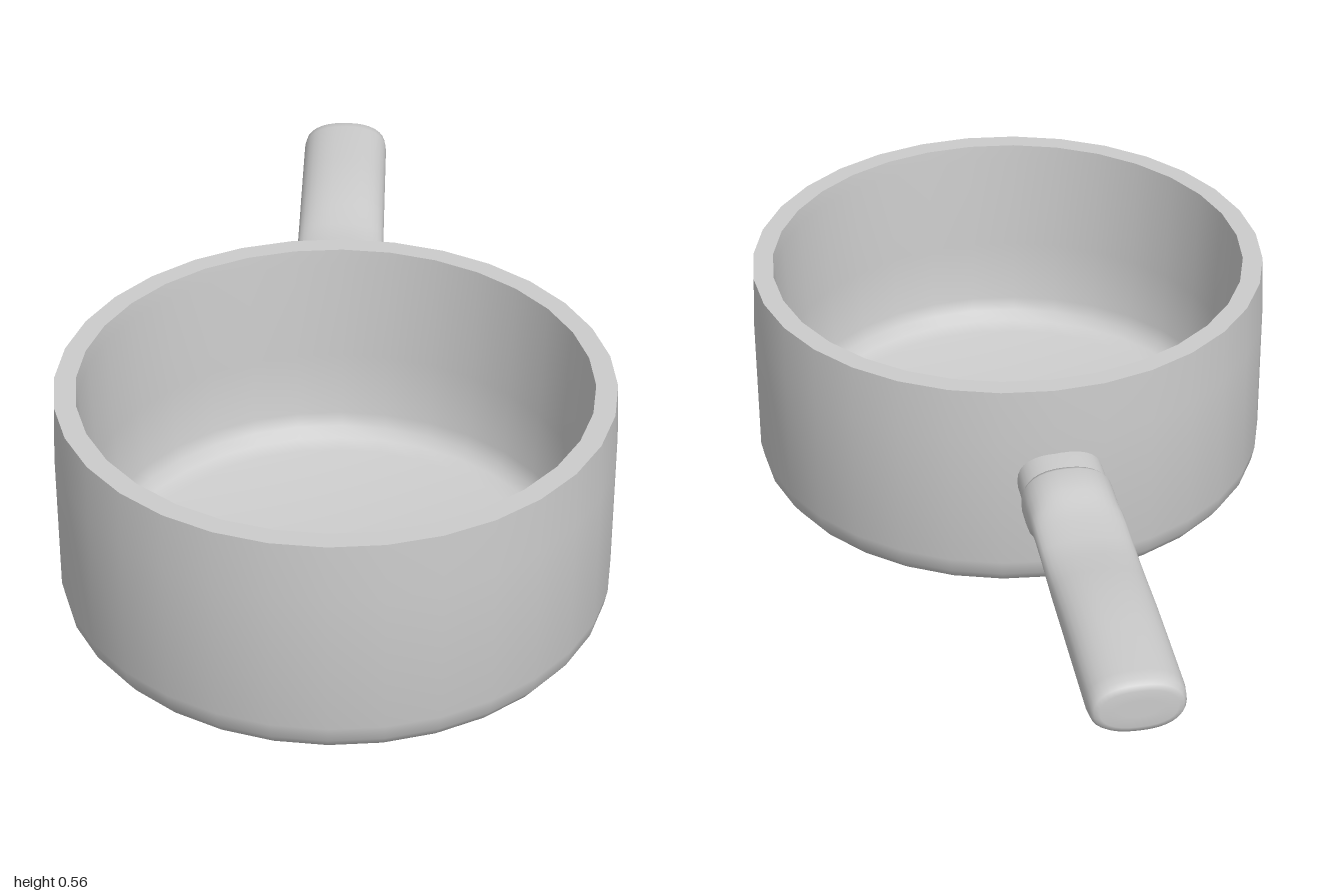
import * as THREE from 'three';
import { toCreasedNormals } from 'three/addons/utils/BufferGeometryUtils.js';

const grey = new THREE.MeshStandardMaterial({ color: 0xcccccc });

// Closed skin through sections [z, halfWidth, bottom, top], running towards -z.
function loft(sections, sides = 32) {
  const pos = [], index = [];
  const soft = (v) => Math.sign(v) * Math.pow(Math.abs(v), 0.85);
  for (const [z, w, lo, hi] of sections) {
    for (let i = 0; i < sides; i++) {
      const a = (i / sides) * Math.PI * 2;
      pos.push(w * soft(Math.cos(a)), (lo + hi) / 2 + ((hi - lo) / 2) * soft(Math.sin(a)), z);
    }
  }
  for (let s = 0; s < sections.length - 1; s++) {
    for (let i = 0; i < sides; i++) {
      const j = (i + 1) % sides;
      const a = s * sides + i, b = s * sides + j;
      const c = a + sides, d = b + sides;
      index.push(a, c, b, b, c, d);
    }
  }
  // end caps
  [0, sections.length - 1].forEach((s) => {
    const [z, , lo, hi] = sections[s];
    const centre = pos.length / 3;
    pos.push(0, (lo + hi) / 2, z);
    for (let i = 0; i < sides; i++) {
      const a = s * sides + i, b = s * sides + ((i + 1) % sides);
      if (s === 0) index.push(centre, a, b);
      else index.push(centre, b, a);
    }
  });
  const g = new THREE.BufferGeometry();
  g.setAttribute('position', new THREE.Float32BufferAttribute(pos, 3));
  g.setIndex(index);
  g.computeVertexNormals();
  return g;
}

function add(parent, name, geometry) {
  const mesh = new THREE.Mesh(geometry, grey);
  mesh.name = name;
  parent.add(mesh);
  return mesh;
}

export function createModel() {
  const model = new THREE.Group();
  model.name = 'saucepan';

  // Pot: outer skin from the slightly domed base up, over the rim, down to the floor
  const profile = [
    [0, 0], [0.2, 0.005], [0.38, 0.017], [0.48, 0.03], [0.53, 0.045],
    [0.56, 0.065], [0.578, 0.09], [0.585, 0.125], [0.585, 0.44], [0.58, 0.565],
    [0.535, 0.565], [0.532, 0.53], [0.522, 0.3], [0.515, 0.15],
    [0.505, 0.12], [0.485, 0.1], [0.45, 0.09], [0, 0.085],
  ].map(([r, y]) => new THREE.Vector2(r, y));
  const pot = add(model, 'pot', toCreasedNormals(new THREE.LatheGeometry(profile, 32), 0.7));
  pot.position.z = 0.415;

  // Handle: collar against the wall, then a waisted oval grip
  const handle = new THREE.Group();
  handle.name = 'handle';
  handle.position.x = -0.014;
  model.add(handle);

  add(handle, 'collar', toCreasedNormals(loft([
    [-0.13, 0.094, 0.275, 0.408],
    [-0.215, 0.094, 0.275, 0.408],
    [-0.25, 0.09, 0.278, 0.405],
  ]), 0.7));

  add(handle, 'grip', loft([
    [-0.228, 0.085, 0.28, 0.4],
    [-0.23, 0.094, 0.268, 0.411],
    [-0.245, 0.1, 0.262, 0.417],
    [-0.29, 0.1, 0.262, 0.416],
    [-0.315, 0.1, 0.27, 0.412],
    [-0.34, 0.1, 0.292, 0.406],
    [-0.365, 0.1, 0.314, 0.4],
    [-0.4, 0.1, 0.324, 0.395],
    [-0.47, 0.1, 0.325, 0.391],
    [-0.53, 0.1, 0.315, 0.394],
    [-0.6, 0.1, 0.302, 0.406],
    [-0.7, 0.1, 0.295, 0.418],
    [-0.8, 0.1, 0.291, 0.421],
    [-0.96, 0.1, 0.289, 0.421],
    [-0.985, 0.097, 0.292, 0.418],
    [-0.996, 0.09, 0.299, 0.411],
    [-1, 0.078, 0.311, 0.399],
    [-1, 0.04, 0.335, 0.375],
  ]));

  return model;
}
